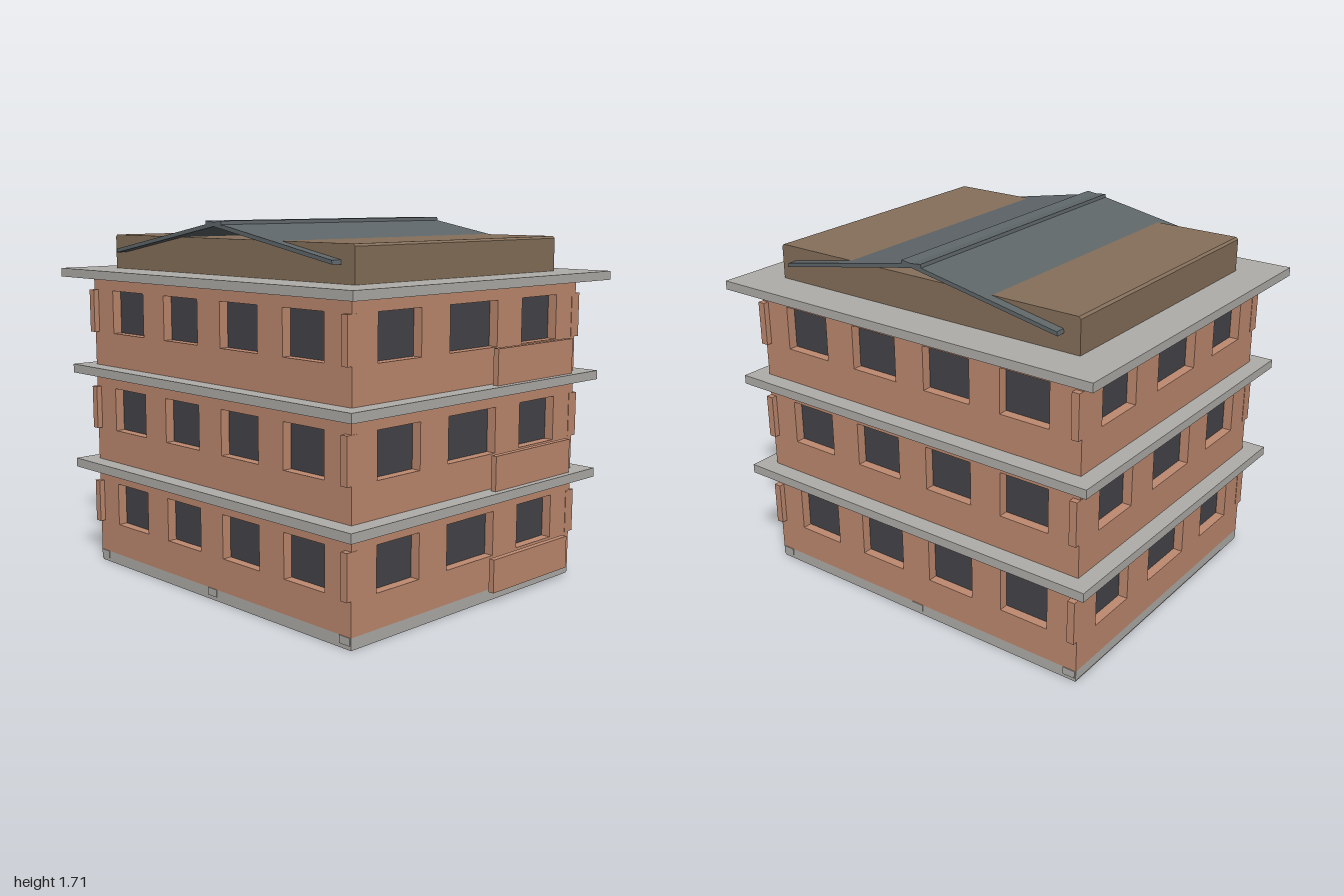
import * as THREE from 'three';

const material = (name, color) => {
  const m = new THREE.MeshStandardMaterial({ color });
  m.name = name;
  return m;
};

export function createModel() {
  const brick = material('brick', 0xbf8a70);
  const concrete = material('concrete', 0xb0aea9);
  const glass = material('dark glass', 0x454449);
  const slate = material('slate', 0x60676a);
  const timber = material('brown attic', 0x86705a);

  const model = new THREE.Group();
  model.name = 'apartmentBlock';

  // box given by its two extreme corners
  const box = (name, mat, [x0, y0, z0], [x1, y1, z1], parent = model) => {
    const g = new THREE.BoxGeometry(x1 - x0, y1 - y0, z1 - z0);
    g.translate((x0 + x1) / 2, (y0 + y1) / 2, (z0 + z1) / 2);
    const mesh = new THREE.Mesh(g, mat);
    mesh.name = name;
    parent.add(mesh);
    return mesh;
  };

  const X = 0.885, Z = 0.747, T = 0.045;

  // wall panel with window openings; its outer face is at z = 0
  const wallGeometry = (half, height, windows, sill, head) => {
    const s = new THREE.Shape([
      new THREE.Vector2(-half, 0), new THREE.Vector2(half, 0),
      new THREE.Vector2(half, height), new THREE.Vector2(-half, height),
    ]);
    for (const [a, b] of windows) {
      s.holes.push(new THREE.Path([
        new THREE.Vector2(a, sill), new THREE.Vector2(a, head),
        new THREE.Vector2(b, head), new THREE.Vector2(b, sill),
      ]));
    }
    const g = new THREE.ExtrudeGeometry(s, { depth: T, bevelEnabled: false });
    return g.translate(0, 0, -T);
  };

  const longWindows = [[-0.73, -0.485], [-0.327, -0.08], [0.077, 0.325], [0.483, 0.73]];
  const shortWindows = [[-0.6, -0.34], [-0.16, 0.16], [0.335, 0.595]];

  // three storeys: bottom, top, window sill, window head
  const storeys = [
    [0.055, 0.48, 0.21, 0.415],
    [0.523, 0.955, 0.683, 0.89],
    [0.997, 1.43, 1.16, 1.365],
  ];
  storeys.forEach(([y0, y1, sill, head], i) => {
    const floor = new THREE.Group();
    floor.name = `storey${i + 1}`;
    model.add(floor);

    const longWall = wallGeometry(X, y1 - y0, longWindows, sill - y0, head - y0);
    const shortWall = wallGeometry(Z - T, y1 - y0, shortWindows, sill - y0, head - y0);
    const walls = [
      ['frontWall', longWall, 0, Z, 0],
      ['backWall', longWall, 0, -Z, Math.PI],
      ['leftWall', shortWall, X, 0, Math.PI / 2],
      ['rightWall', shortWall, -X, 0, -Math.PI / 2],
    ];
    for (const [name, g, x, z, turn] of walls) {
      const wall = new THREE.Mesh(g, brick);
      wall.name = name;
      wall.position.set(x, y0, z);
      wall.rotation.y = turn;
      floor.add(wall);
    }

    // glazing core seen through the openings
    box('windowGlass', glass, [T - X, y0, T - Z], [X - T, y1, Z - T], floor);

    // raised brick strips at the corners
    for (const sx of [-1, 1]) for (const sz of [-1, 1]) {
      const x = sx * 0.869, z = sz * 0.745;
      box('cornerStrip', brick, [x - 0.018, sill, z - 0.029], [x + 0.018, head, z + 0.029], floor);
    }

    // parapet panel standing off the left wall
    box('balconyPanel', brick, [0.908, y0, -0.663], [0.935, sill, -0.108], floor);
  });

  // plinth with small blocks along front and back
  box('plinth', concrete, [-X, 0.008, -Z], [X, 0.055, Z]);
  box('plinthFoot', concrete, [-X + 0.003, 0, -Z + 0.003], [X - 0.003, 0.008, Z - 0.003]);
  for (const x of [-0.85, 0, 0.85]) for (const z of [-Z, Z]) {
    box('plinthBlock', concrete, [x - 0.03, 0.02, z - 0.004], [x + 0.03, 0.055, z + 0.004]);
  }

  // projecting slabs
  box('lowerSlab', concrete, [-0.965, 0.48, -0.829], [0.965, 0.523, 0.829]);
  box('upperSlab', concrete, [-0.965, 0.955, -0.829], [0.965, 0.997, 0.829]);
  box('roofSlab', concrete, [-1, 1.427, -0.858], [1, 1.468, 0.858]);

  // attic block, softened along its edges
  const r = 0.01, hx = 0.815 - r, hy = 1.63 - r;
  const attic = new THREE.Shape([
    [-hx - r, 1.46], [hx + r, 1.46], [hx + r, hy], [hx, hy + r], [-hx, hy + r], [-hx - r, hy],
  ].map(([x, y]) => new THREE.Vector2(x, y)));
  const atticMesh = new THREE.Mesh(
    new THREE.ExtrudeGeometry(attic, { depth: 1.325, bevelEnabled: false }).translate(0, 0, -0.665), timber);
  atticMesh.name = 'attic';
  model.add(atticMesh);

  // shallow gable roof crossing the attic, and its ridge cap
  const sheet = (name, points, halfLength) => {
    const s = new THREE.Shape(points.map(([x, y]) => new THREE.Vector2(x, y)));
    const g = new THREE.ExtrudeGeometry(s, { depth: halfLength * 2, bevelEnabled: false });
    const mesh = new THREE.Mesh(g.translate(0, 0, -halfLength), slate);
    mesh.name = name;
    model.add(mesh);
  };
  sheet('gableRoof', [[-0.738, 1.547], [0, 1.683], [0.738, 1.547], [0.735, 1.565], [0, 1.702], [-0.735, 1.565]], 0.711);
  sheet('ridgeCap', [[-0.055, 1.687], [0.055, 1.687], [0.052, 1.708], [0, 1.702], [-0.052, 1.708]], 0.712);

  return model;
}
